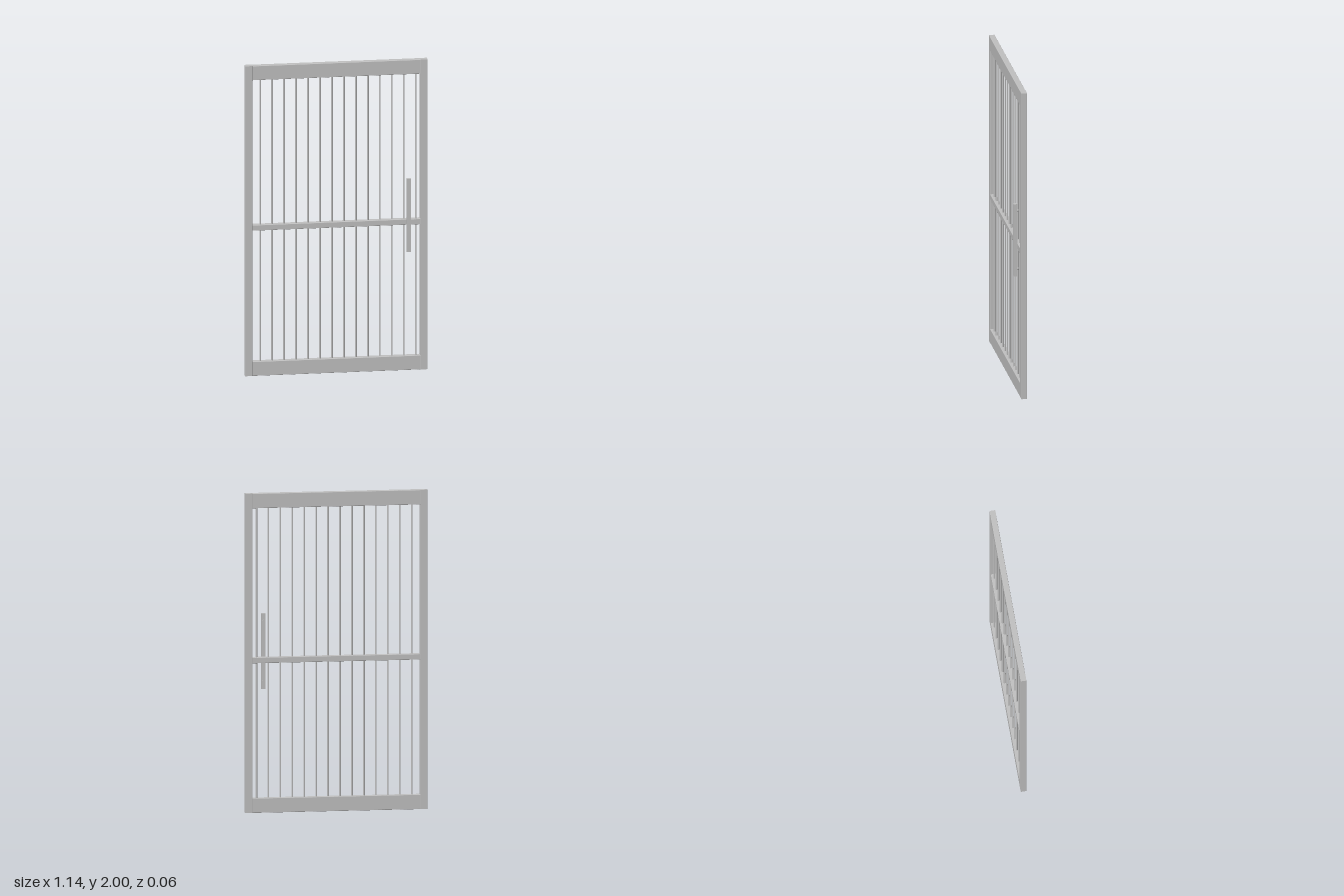
import * as THREE from 'three';

const DEPTH = 0.036, BACK = -0.0325, FRONT = BACK + DEPTH, MID = (FRONT + BACK) / 2;

// Square tube with slightly rounded long edges, extruded along z and centred
function tubeGeometry(w, h, length, r = 0.003) {
  const s = new THREE.Shape();
  const x = w / 2, y = h / 2;
  s.moveTo(-x + r, -y);
  s.lineTo(x - r, -y);
  s.absarc(x - r, -y + r, r, -Math.PI / 2, 0);
  s.lineTo(x, y - r);
  s.absarc(x - r, y - r, r, 0, Math.PI / 2);
  s.lineTo(-x + r, y);
  s.absarc(-x + r, y - r, r, Math.PI / 2, Math.PI);
  s.lineTo(-x, -y + r);
  s.absarc(-x + r, -y + r, r, Math.PI, Math.PI * 1.5);
  const g = new THREE.ExtrudeGeometry(s, { depth: length, bevelEnabled: false, curveSegments: 4 });
  return g.translate(0, 0, -length / 2);
}

export function createModel() {
  const group = new THREE.Group();
  group.name = 'barredDoor';
  const steel = new THREE.MeshStandardMaterial({ color: 0xc0c0c0 });
  steel.name = 'steelGrey';

  const add = (name, geometry, x, y, z) => {
    const mesh = new THREE.Mesh(geometry, steel);
    mesh.name = name;
    mesh.position.set(x, y, z);
    group.add(mesh);
  };

  // Upright stiles
  for (const side of [-1, 1]) {
    const g = tubeGeometry(0.045, DEPTH, 2).rotateX(Math.PI / 2);
    add(side > 0 ? 'leftStile' : 'rightStile', g, side * 0.5475, 1, MID);
  }

  // Horizontal rails between the stiles
  const rails = [['bottomRail', 0, 0.092], ['middleRail', 0.937, 0.973], ['topRail', 1.908, 2]];
  for (const [name, low, high] of rails) {
    const g = tubeGeometry(DEPTH, high - low, 1.05).rotateY(Math.PI / 2);
    add(name, g, 0, (low + high) / 2, MID);
  }

  // Slim vertical bars
  for (let i = 0; i < 14; i++) {
    add('bar', new THREE.CylinderGeometry(0.0055, 0.0055, 1.83, 16), -0.474 + i * 0.0748, 1, MID);
  }

  // Pull handle with two short standoffs
  add('handle', new THREE.BoxGeometry(0.026, 0.472, 0.025), 0.45, 1.005, 0.02);
  for (const y of [0.815, 1.195]) {
    const g = new THREE.CylinderGeometry(0.008, 0.008, 0.008, 20).rotateX(Math.PI / 2);
    add('handleStandoff', g, 0.45, y, 0.0045);
  }
  return group;
}
